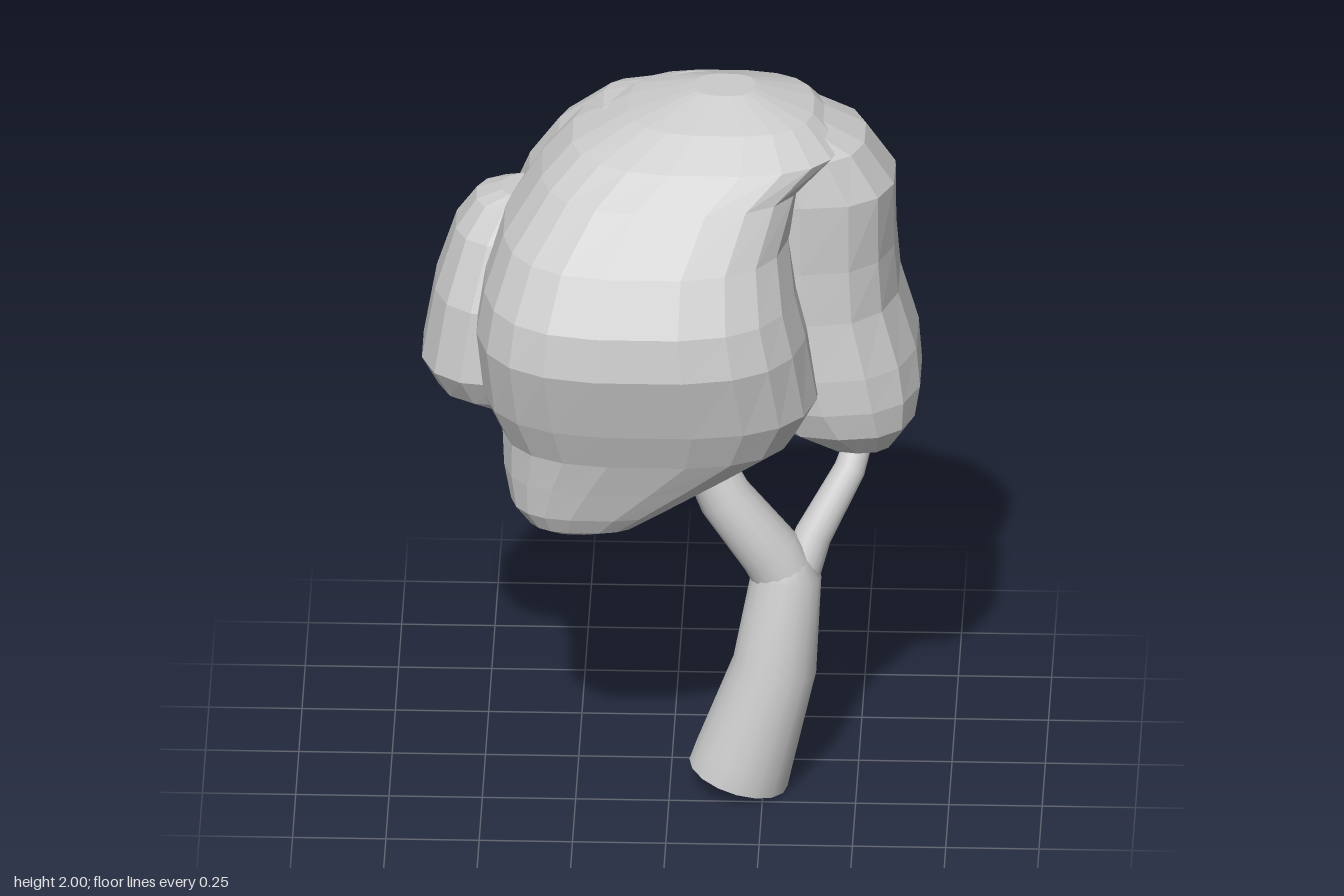
import * as THREE from 'three';

// Skins a stack of rings (arrays of Vector3); leaf masses are closed, limbs are open tubes.
function loft(rings, closed) {
  const n = rings[0].length, pos = [], idx = [];
  const add = (p) => pos.push(p.x, p.y, p.z) / 3 - 1;
  rings.forEach((ring) => ring.forEach(add));
  for (let i = 0; i < rings.length - 1; i++) {
    for (let j = 0; j < n; j++) {
      const a = i * n + j, b = i * n + ((j + 1) % n);
      idx.push(a, a + n, b, b, a + n, b + n);
    }
  }
  if (closed) {
    [rings[0], rings[rings.length - 1]].forEach((ring, end) => {
      const mid = new THREE.Vector3();
      ring.forEach((p) => mid.addScaledVector(p, 1 / n));
      const m = add(mid), first = ring.map(add);
      for (let j = 0; j < n; j++) {
        const a = first[j], b = first[(j + 1) % n];
        if (end === 0) idx.push(m, a, b);
        else idx.push(m, b, a);
      }
    });
  }
  const geo = new THREE.BufferGeometry();
  geo.setAttribute('position', new THREE.Float32BufferAttribute(pos, 3));
  geo.setIndex(idx);
  geo.computeVertexNormals();
  return new THREE.Mesh(geo, new THREE.MeshStandardMaterial({
    color: 0xcccccc, flatShading: closed, side: closed ? THREE.FrontSide : THREE.DoubleSide,
  }));
}

// Faceted leaf mass; rows are [y, xMin, xMax, zMin, zMax], skew turns the z faces.
function leafMass(rows, power, sides, skew = 0) {
  const curve = (v) => Math.sign(v) * Math.abs(v) ** (2 / power);
  return loft(rows.map(([y, x0, x1, z0, z1]) =>
    Array.from({ length: sides }, (_, j) => {
      const t = ((j + 0.5) / sides) * Math.PI * 2;
      const x = (x0 + x1) / 2 + curve(Math.cos(t)) * (x1 - x0) / 2;
      const z = (z0 + z1) / 2 + curve(Math.sin(t)) * (z1 - z0) / 2;
      return new THREE.Vector3(x, y, z + skew * x);
    })), true);
}

// Round tapering limb; rows are [x, y, z, radius].
function limb(rows) {
  const pts = rows.map(([x, y, z]) => new THREE.Vector3(x, y, z));
  return loft(rows.map((row, i) => {
    const d = pts[Math.min(i + 1, pts.length - 1)].clone().sub(pts[Math.max(i - 1, 0)]).normalize();
    const u = d.clone().cross(new THREE.Vector3(0, 0, 1)).normalize();
    const v = u.clone().cross(d);
    return Array.from({ length: 16 }, (_, j) => {
      const t = (j / 16) * Math.PI * 2;
      return pts[i].clone().addScaledVector(u, Math.cos(t) * row[3]).addScaledVector(v, Math.sin(t) * row[3]);
    });
  }), false);
}

export function createModel() {
  const tree = new THREE.Group();
  tree.name = 'tree';
  const part = (name, mesh) => {
    mesh.name = name;
    tree.add(mesh);
  };

  // Trunk and its two branches
  part('trunk', limb([
    [0.183, 0.04, 0.15, 0.137], [0.2, 0.1, 0.15, 0.133], [0.28, 0.36, 0.132, 0.113],
    [0.31, 0.62, 0.11, 0.094], [0.3, 0.68, 0.105, 0.055],
  ]));
  part('rightBranch', limb([
    [0.315, 0.59, 0.108, 0.082], [0.265, 0.69, 0.112, 0.084],
    [0.145, 0.85, 0.112, 0.074], [0.07, 1.0, 0.085, 0.064],
  ]));
  part('leftBranch', limb([
    [0.345, 0.61, 0.09, 0.055], [0.38, 0.71, 0.055, 0.051],
    [0.475, 0.87, -0.02, 0.043], [0.52, 1.0, -0.1, 0.034],
    [0.49, 1.12, -0.23, 0.02],
  ]));

  // Front mass, bulging low on one side and rounding over the crown
  part('frontFoliage', leafMass([
    [0.82, -0.32, -0.17, 0.18, 0.29],
    [0.86, -0.38, -0.07, 0.1, 0.36],
    [0.91, -0.425, 0.02, 0.02, 0.385],
    [1.0, -0.445, 0.18, -0.08, 0.41],
    [1.1, -0.45, 0.34, -0.15, 0.44],
    [1.21, -0.5, 0.4, -0.2, 0.48],
    [1.4, -0.52, 0.37, -0.25, 0.53],
    [1.52, -0.5, 0.34, -0.25, 0.51],
    [1.66, -0.45, 0.32, -0.27, 0.43],
    [1.8, -0.35, 0.36, -0.29, 0.32],
    [1.88, -0.27, 0.46, -0.28, 0.24],
    [1.95, -0.12, 0.38, -0.25, 0.14],
    [2.0, 0.06, 0.22, -0.13, 0],
  ], 2.8, 20));

  // Broad sloping back mass, its underside rising towards one corner
  part('backFoliage', leafMass([
    [0.88, -0.28, -0.02, -0.12, 0.12],
    [0.93, -0.36, 0.08, -0.27, 0.2],
    [1.01, -0.44, 0.2, -0.41, 0.2],
    [1.1, -0.49, 0.36, -0.46, 0.2],
    [1.2, -0.52, 0.48, -0.5, 0.18],
    [1.29, -0.52, 0.55, -0.475, 0.16],
    [1.42, -0.5, 0.55, -0.425, 0.15],
    [1.56, -0.45, 0.53, -0.37, 0.12],
    [1.72, -0.39, 0.5, -0.305, 0.1],
    [1.83, -0.31, 0.46, -0.295, 0.08],
    [1.92, -0.19, 0.37, -0.265, 0.04],
    [1.97, -0.02, 0.27, -0.21, 0],
  ], 3.3, 20, 0.08));

  // Tall side mass with a low hanging lobe
  part('leftFoliage', leafMass([
    [0.99, 0.4, 0.6, -0.11, 0.12],
    [1.06, 0.25, 0.655, -0.25, 0.18],
    [1.14, 0.15, 0.67, -0.34, 0.2],
    [1.24, 0.1, 0.66, -0.41, 0.2],
    [1.4, 0.1, 0.61, -0.42, 0.18],
    [1.55, 0.1, 0.6, -0.36, 0.17],
    [1.75, 0.1, 0.6, -0.28, 0.17],
    [1.87, 0.1, 0.52, -0.25, 0.15],
    [1.94, 0.1, 0.38, -0.21, 0.1],
  ], 2.5, 14));

  // Small outer lobe
  part('rightFoliage', leafMass([
    [1.08, -0.53, -0.3, -0.16, 0.08],
    [1.12, -0.63, -0.2, -0.25, 0.13],
    [1.2, -0.675, -0.2, -0.32, 0.17],
    [1.4, -0.64, -0.2, -0.31, 0.15],
    [1.57, -0.585, -0.2, -0.26, 0.08],
    [1.65, -0.53, -0.2, -0.21, 0.03],
    [1.68, -0.46, -0.2, -0.16, 0],
  ], 2.6, 14));

  return tree;
}
